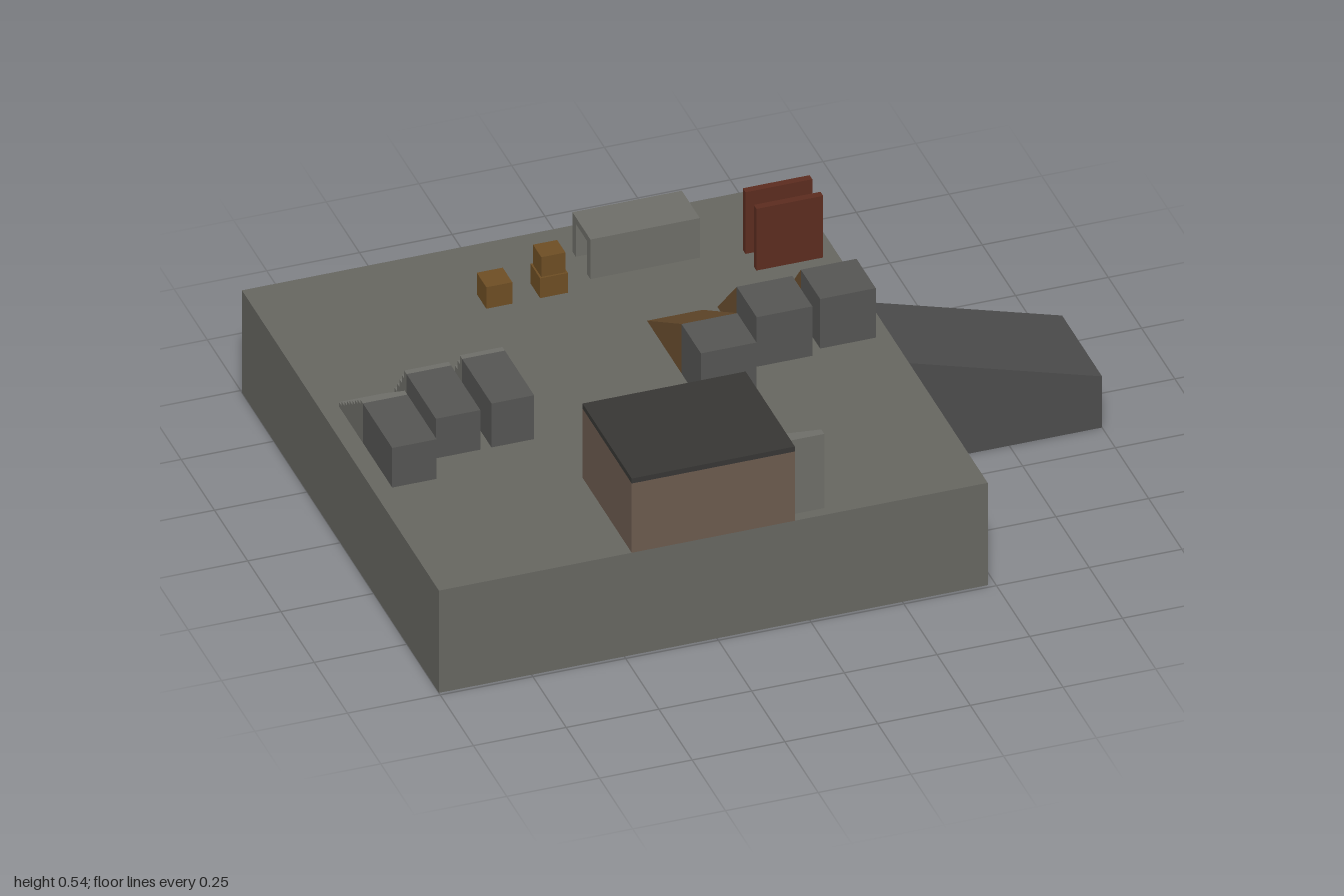
import * as THREE from 'three';

const DECK = 0.31; // height of the platform top

const paint = (color) => new THREE.MeshStandardMaterial({ color, flatShading: true });
const stone = paint(0x666660), darkStone = paint(0x4c4c4c), block = paint(0x555553);
const stair = paint(0x6e6e68), plaster = paint(0x6b5a4e), roofing = paint(0x373634);
const wood = paint(0x6b4f2f), crateWood = paint(0x6e4e24), rust = paint(0x5c2c1f);

export function createModel() {
  const model = new THREE.Group();

  const add = (name, geometry, material, parent = model) => {
    const mesh = new THREE.Mesh(geometry, material);
    mesh.name = name;
    parent.add(mesh);
    return mesh;
  };
  const group = (name) => {
    const g = new THREE.Group();
    g.name = name;
    model.add(g);
    return g;
  };
  // box given by its limits on each axis
  const box = (name, [x0, x1], [y0, y1], [z0, z1], material, parent) => {
    const g = new THREE.BoxGeometry(x1 - x0, y1 - y0, z1 - z0);
    g.translate((x0 + x1) / 2, (y0 + y1) / 2, (z0 + z1) / 2);
    return add(name, g, material, parent);
  };
  const extrude = (points, depth) => new THREE.ExtrudeGeometry(
    new THREE.Shape(points.map(([u, v]) => new THREE.Vector2(u, v))),
    { depth, bevelEnabled: false });
  // side profile of [z, y] points, swept from x0 to x1
  const sweepX = (name, points, [x0, x1], material, parent) => {
    const g = extrude(points, x1 - x0);
    g.rotateY(-Math.PI / 2).translate(x1, 0, 0);
    return add(name, g, material, parent);
  };
  // solid flight rising toward +z
  const flight = (name, x, [z0, z1], top, count, material, parent) => {
    const points = [[z1, DECK], [z1, top]];
    const run = (z1 - z0) / count, rise = (top - DECK) / count;
    for (let i = count - 1; i >= 0; i--) {
      points.push([z0 + i * run, DECK + (i + 1) * rise]);
      points.push([z0 + i * run, DECK + i * rise]);
    }
    points.pop();
    points.push([z0, DECK]);
    return sweepX(name, points.reverse(), x, material, parent);
  };

  // Platform and its access ramp
  box('platform', [-1, 0.48], [0, DECK], [-0.74, 0.74], stone);
  const ramp = extrude([[0.48, 0], [1, 0], [1, 0.155], [0.48, DECK]], 0.3);
  add('accessRamp', ramp.translate(0, 0, -0.15), darkStone);

  // Hut: hollow walls, a doorway in the back wall, flat roof and outside stairs
  const hut = group('hut');
  const wallY = [DECK, 0.52];
  box('frontWall', [-0.48, -0.04], wallY, [0.72, 0.74], plaster, hut);
  box('rightWall', [-0.48, -0.46], wallY, [0.39, 0.72], plaster, hut);
  box('leftWall', [-0.06, -0.04], wallY, [0.39, 0.72], plaster, hut);
  const doorWall = extrude([
    [-0.48, DECK], [-0.3, DECK], [-0.3, 0.45], [-0.22, 0.45], [-0.22, DECK],
    [-0.04, DECK], [-0.04, 0.52], [-0.48, 0.52]], 0.02);
  add('doorWall', doorWall.translate(0, 0, 0.37), plaster, hut);
  box('roof', [-0.48, -0.04], [0.52, 0.535], [0.37, 0.74], roofing, hut);
  flight('roofStairs', [-0.04, 0.05], [0.37, 0.71], 0.535, 15, stair, hut);

  // Three blocks with steps
  [
    { x: [-0.95, -0.83], split: 0.03, front: 0.25, top: 0.43, count: 9 },
    { x: [-0.8, -0.68], split: -0.06, front: 0.16, top: 0.43, count: 5 },
    { x: [-0.65, -0.535], split: -0.06, front: 0.16, top: 0.443, count: 5 },
  ].forEach(({ x, split, front, top, count }, i) => {
    const g = group(`steppedBlock${i + 1}`);
    box('block', x, [DECK, top], [split, front], block, g);
    flight('steps', x, [-0.15, split], top, count, stair, g);
  });

  // Three blocks with wooden ramps
  [
    { x: [-0.08, 0.07], split: 0, front: 0.145 },
    { x: [0.11, 0.26], split: -0.115, front: 0.035 },
    { x: [0.29, 0.44], split: -0.135, front: 0.01 },
  ].forEach(({ x, split, front }, i) => {
    const g = group(`rampBlock${i + 1}`);
    box('block', x, [DECK, 0.46], [split, front], block, g);
    sweepX('woodRamp', [[-0.26, DECK], [split, DECK], [split, 0.46]], x, wood, g);
  });

  // Open-ended crawl tunnel
  sweepX('crawlTunnel', [
    [-0.625, DECK], [-0.6, DECK], [-0.6, 0.41], [-0.515, 0.41],
    [-0.515, DECK], [-0.49, DECK], [-0.49, 0.43], [-0.625, 0.43]].reverse(),
  [-0.15, 0.145], stair);

  // Crates: one single, one stack of two
  box('singleCrate', [-0.445, -0.375], [DECK, 0.375], [-0.522, -0.45], crateWood);
  box('lowerCrate', [-0.3, -0.225], [DECK, 0.37], [-0.522, -0.45], crateWood);
  box('upperCrate', [-0.295, -0.23], [0.37, 0.43], [-0.517, -0.455], crateWood);

  // Two upright wall panels
  [-0.395, -0.477].forEach((z, i) =>
    box(`wallPanel${i + 1}`, [0.26, 0.44], [DECK, 0.497], [z - 0.01, z + 0.01], rust));

  return model;
}
